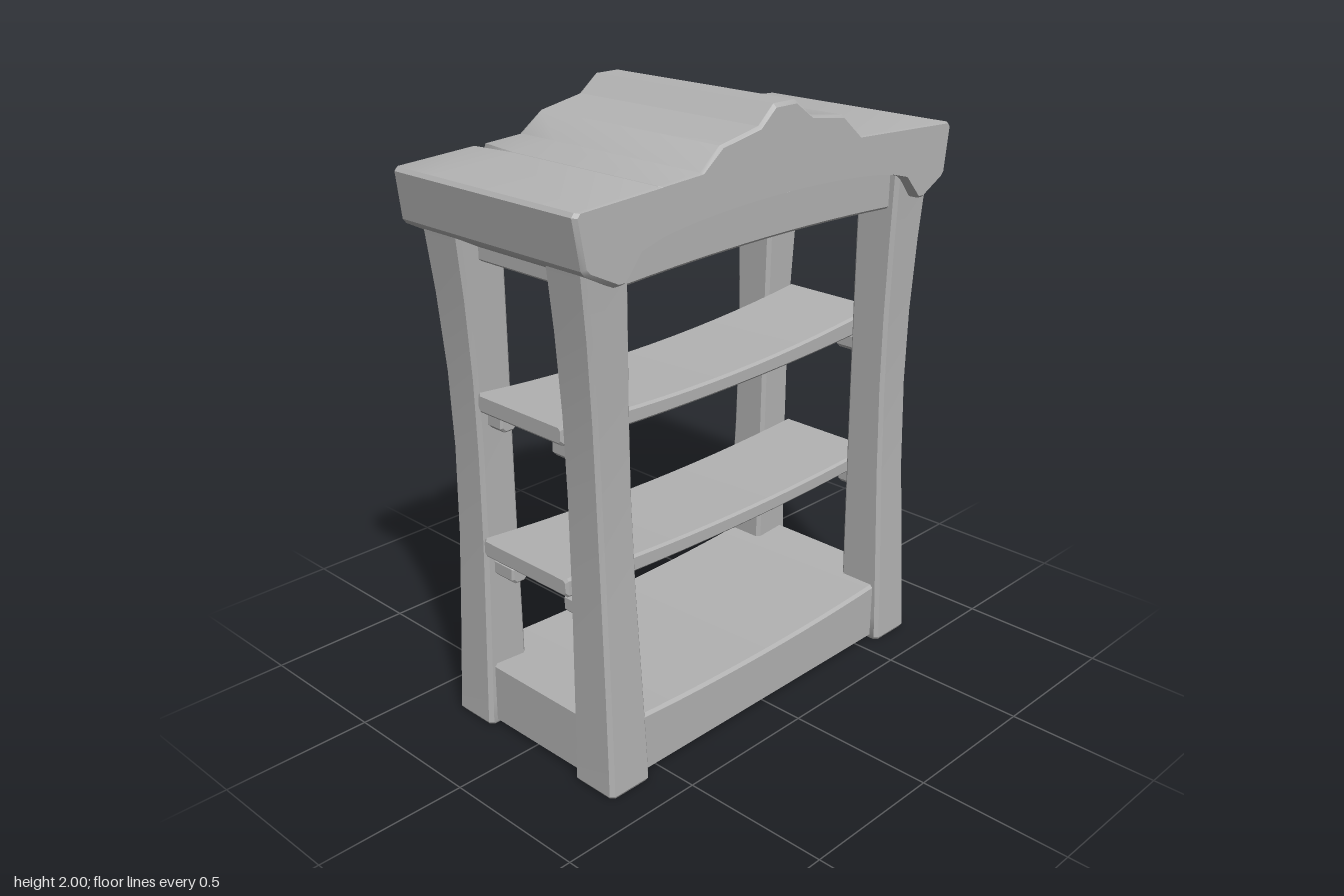
import * as THREE from 'three';
import { toCreasedNormals } from 'three/addons/utils/BufferGeometryUtils.js';

const stone = new THREE.MeshStandardMaterial({ color: 0xb2b2b2 });
stone.name = 'plain grey';

// Axis maps: profile (u, v) swept along t
const alongX = (u, v, t) => [t, u, v];
const alongY = (u, v, t) => [v, t, u];

// Skin a row of counter-clockwise sections [t, points] and close both ends
function loft(name, sections, map) {
  const n = sections[0][1].length;
  const pos = [], index = [];
  for (const [t, pts] of sections) for (const [u, v] of pts) pos.push(...map(u, v, t));
  for (let s = 0; s < sections.length - 1; s++) {
    for (let i = 0; i < n; i++) {
      const a = s * n + i, b = s * n + (i + 1) % n;
      index.push(a, b, b + n, a, b + n, a + n);
    }
  }
  const cap = (s, flip) => {
    const pts = sections[s][1].map(([u, v]) => new THREE.Vector2(u, v));
    for (const [a, b, c] of THREE.ShapeUtils.triangulateShape(pts, [])) {
      const o = s * n;
      if (flip) index.push(o + a, o + c, o + b);
      else index.push(o + a, o + b, o + c);
    }
  };
  cap(0, true);
  cap(sections.length - 1, false);
  const geo = new THREE.BufferGeometry();
  geo.setAttribute('position', new THREE.Float32BufferAttribute(pos, 3));
  geo.setIndex(index);
  const mesh = new THREE.Mesh(toCreasedNormals(geo, 0.5), stone);
  mesh.name = name;
  return mesh;
}

// Rectangle with cut corners
const chamferRect = (u0, u1, v0, v1, c) => [
  [u0 + c, v0], [u1 - c, v0], [u1, v0 + c], [u1, v1 - c],
  [u1 - c, v1], [u0 + c, v1], [u0, v1 - c], [u0, v0 + c],
];

// Horizontal board whose lower and upper faces follow curves of x
function board(name, half, low, high, z0, z1, c = 0.008) {
  const sections = [];
  const add = (x, inset) => sections.push([x,
    chamferRect(low(x) + inset, high(x) - inset, z0 + inset, z1 - inset, c)]);
  add(-half, c);
  const inner = half - c;
  for (let i = 0; i <= 14; i++) add(-inner + (2 * inner * i) / 14, 0);
  add(half, c);
  return loft(name, sections, alongX);
}

// Leg stations: y, inner x, outer x, front leg z range, back leg z range
const LEG = [
  [0.00, 0.570, 0.720, 0.222, 0.380, -0.345, -0.190],
  [0.01, 0.565, 0.727, 0.217, 0.386, -0.350, -0.185],
  [0.09, 0.566, 0.725, 0.216, 0.383, -0.347, -0.185],
  [0.35, 0.571, 0.719, 0.210, 0.370, -0.335, -0.183],
  [0.65, 0.577, 0.713, 0.204, 0.354, -0.323, -0.181],
  [0.95, 0.581, 0.714, 0.200, 0.345, -0.317, -0.179],
  [1.20, 0.584, 0.722, 0.198, 0.345, -0.321, -0.176],
  [1.45, 0.588, 0.740, 0.196, 0.350, -0.331, -0.173],
  [1.68, 0.593, 0.765, 0.195, 0.356, -0.342, -0.170],
];

function leg(name, side, front) {
  const chipped = side > 0 && !front;
  return loft(name, LEG.map(([y, xi, xo, f0, f1, b0, b1]) => {
    const [z0, z1] = front ? [f0, f1] : [b0, b1];
    const pts = chamferRect(z0, z1, side > 0 ? xi : -xo, side > 0 ? xo : -xi, 0.012);
    // small chip at the foot of one back leg
    if (chipped) {
      const k = Math.max(0, 1 - y / 0.09);
      const w = 0.001 + 0.012 * k;
      pts.splice(7, 0, [z0, 0.69 + w], [z0 + 0.03 * k, 0.69], [z0, 0.69 - w]);
    }
    return [y, pts];
  }), alongY);
}

// Crest outline, with a V-shaped split in the top of strength k
function crestOutline(k) {
  const pts = [[-0.82, 1.815], [-0.797, 1.67], [-0.785, 1.655], [-0.685, 1.603], [-0.66, 1.603]];
  for (let i = 0; i <= 16; i++) {
    const x = -0.595 + (1.19 * i) / 16;
    const e = Math.abs(x / 0.595);
    pts.push([x, 1.737 - 0.04 * e * e - 0.017 * e ** 8]);
  }
  const w = 0.001 + 0.022 * k;
  pts.push(
    [0.66, 1.603], [0.685, 1.603], [0.78, 1.652], [0.793, 1.667], [0.82, 1.815], [0.81, 1.827],
    [0.35, 1.85], [0.265, 1.925], [0.12, 1.945], [0.045, 2], [-0.045, 2], [-0.11, 1.945],
    [-0.27, 1.915], [-0.35, 1.853],
    [-0.51 + w, 1.844], [-0.51, 1.844 - 0.07 * k], [-0.51 - w, 1.843],
    [-0.81, 1.827],
  );
  return pts;
}

function crest() {
  const inset = (pts) => pts.map(([x, y]) => [x * 0.986, 1.78 + (y - 1.78) * 0.95]);
  const sections = [
    [-0.395, inset(crestOutline(1))],
    [-0.382, crestOutline(0.92)],
    [-0.225, crestOutline(0)],
    [0.388, crestOutline(0)],
    [0.4, inset(crestOutline(0))],
  ];
  // the ends lean inward toward the top
  const lean = (x, y, z) => [x, y, z * (1 - (z < 0 ? 0.16 : 0.08) * (y - 1.6))];
  return loft('crest', sections, lean);
}

// Worn knob on the back corner of the crest
function knob(side) {
  const ring = (s) => {
    const pts = [[-0.075, 0.03], [-0.06, -0.025], [0.0, -0.055], [0.06, -0.02], [0.075, 0.025], [0.03, 0.06], [-0.03, 0.06]];
    return pts.map(([x, y]) => [side * 0.693 + x * s, 1.667 + y * s]);
  };
  return loft(side > 0 ? 'leftKnob' : 'rightKnob',
    [[-0.406, ring(0.65)], [-0.395, ring(1)], [-0.34, ring(1)]], (x, y, z) => [x, y, z]);
}

export function createModel() {
  const model = new THREE.Group();
  model.name = 'shelfStand';

  // Legs and knobs
  for (const side of [1, -1]) {
    const label = side > 0 ? 'Left' : 'Right';
    model.add(leg('front' + label + 'Leg', side, true));
    model.add(leg('back' + label + 'Leg', side, false));
    model.add(knob(side));
  }

  // Base, panel under the crest, and crest
  model.add(board('base', 0.7, () => 0.006, (x) => 0.195 + 0.055 * x * x, -0.32, 0.355, 0.01));
  model.add(board('topPanel', 0.69, (x) => 1.585 - 0.05 * x * x, () => 1.72, -0.3, 0.325));
  model.add(crest());

  // Sagging shelves, slightly tilted
  model.add(board('lowerShelf', 0.722,
    (x) => 0.587 + 0.045 * x * x - 0.012 * x, (x) => 0.64 + 0.055 * x * x - 0.018 * x, -0.183, 0.205));
  model.add(board('upperShelf', 0.718,
    (x) => 1.081 + 0.045 * x * x + 0.006 * x, (x) => 1.133 + 0.075 * x * x + 0.013 * x, -0.18, 0.2));

  // Pegs under the shelf ends: y, z range
  const pegs = [[1.069, 0.11, 0.22], [1.069, -0.2, -0.115], [0.567, 0.14, 0.23], [0.567, -0.2, -0.095]];
  for (const side of [1, -1]) {
    for (const [y, z0, z1] of pegs) {
      const x = side * 0.65;
      const full = chamferRect(x - 0.032, x + 0.032, y - 0.034, y + 0.034, 0.015);
      const small = chamferRect(x - 0.026, x + 0.026, y - 0.028, y + 0.028, 0.012);
      model.add(loft('shelfPeg',
        [[z0, small], [z0 + 0.006, full], [z1 - 0.006, full], [z1, small]], (u, v, t) => [u, v, t]));
    }
  }
  return model;
}
